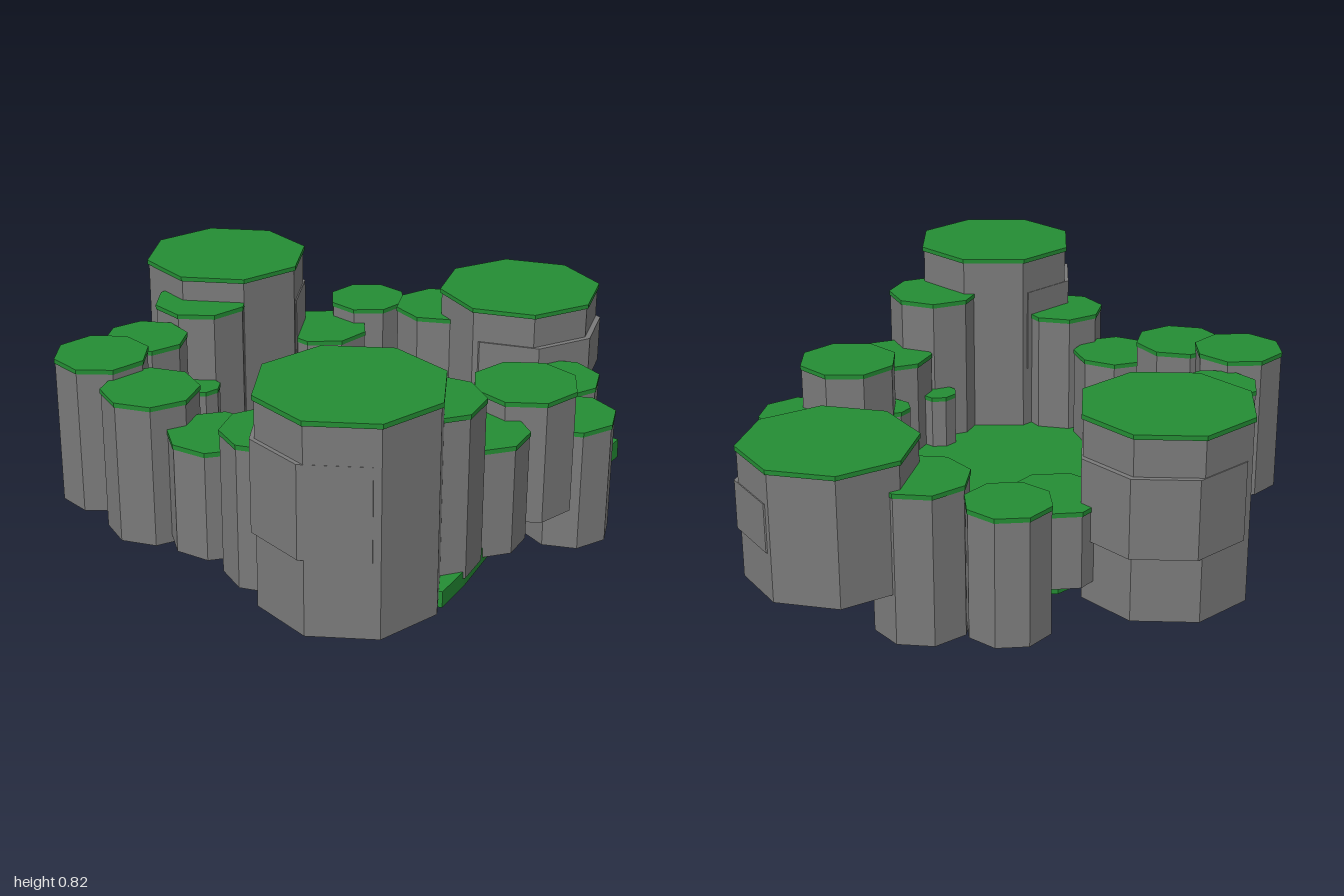
import * as THREE from 'three';

const rock = new THREE.MeshStandardMaterial({ color: 0x7a7a7a, flatShading: true });
const grass = new THREE.MeshStandardMaterial({ color: 0x248d34, flatShading: true });

// Octagonal prism from y0 to y1
function prism(name, x, z, r, y0, y1, turn, material) {
  const mesh = new THREE.Mesh(new THREE.CylinderGeometry(r, r, y1 - y0, 8), material);
  mesh.name = name;
  mesh.position.set(x, (y0 + y1) / 2, z);
  mesh.rotation.y = THREE.MathUtils.degToRad(turn);
  return mesh;
}

// Rock column with a grass cap and a grass underside
function column(name, [x, z, r, y0, y1, turn]) {
  const g = new THREE.Group();
  g.name = name;
  g.add(prism('rockShaft', x, z, r * 0.98, y0, y1 - 0.015, turn, [rock, grass, grass]));
  g.add(prism('grassCap', x, z, r, y1 - 0.015, y1, turn, grass));
  return g;
}

// x, z, radius, bottom, top, turn in degrees
const towers = [
  [-0.72, 0.55, 0.283, 0.16, 0.82, 8],
  [0.72, 0.25, 0.281, 0.165, 0.6, 41],
  [0.16, -0.61, 0.28, 0.095, 0.705, 6],
];
// x, z, radius, bottom, top, turn of the shifted block that shows at one corner of each tower
const blocks = [
  [-0.737, 0.536, 0.27, 0.4, 0.69, 8],
  [0.717, 0.275, 0.27, 0.32, 0.48, 41],
  [0.185, -0.612, 0.268, 0.31, 0.57, 6],
];
const columns = [
  // back edge
  [-0.615, -0.49, 0.152, 0.13, 0.62, 11],
  [-0.355, -0.535, 0.137, 0.13, 0.58, 4],
  [-0.07, -0.535, 0.16, 0.115, 0.62, 10],
  [0.37, -0.345, 0.158, 0.17, 0.425, 15],
  // left edge
  [0.585, -0.305, 0.138, 0.05, 0.477, 14],
  [0.62, -0.015, 0.158, 0, 0.505, 2],
  // right edge
  [-0.67, -0.24, 0.154, 0.115, 0.585, 41],
  [-0.665, 0.01, 0.15, 0.14, 0.5, 27],
  [-0.72, 0.265, 0.15, 0.14, 0.605, 41],
  // front edge
  [-0.425, 0.625, 0.163, 0.16, 0.69, 32],
  [-0.2, 0.665, 0.146, 0.15, 0.51, 30],
  [0.06, 0.66, 0.17, 0.165, 0.573, 9],
  [0.235, 0.73, 0.15, 0.01, 0.42, 0],
  [0.46, 0.545, 0.155, 0.01, 0.42, 0],
];
const innerColumns = [
  [-0.275, 0.515, 0.065, 0.14, 0.37, 12],
  [-0.03, 0.55, 0.07, 0.14, 0.39, 20],
  [0.215, 0.55, 0.09, 0.14, 0.35, 5],
  [0.43, 0.38, 0.1, 0.07, 0.31, 18],
  [0.4, -0.18, 0.095, 0.14, 0.3, 25],
  [-0.22, -0.42, 0.065, 0.14, 0.385, 8],
  [-0.48, -0.39, 0.075, 0.14, 0.43, 10],
];

export function createModel() {
  const model = new THREE.Group();
  model.name = 'rockArena';

  // Flat grass floor, reaching out under the front columns
  const outline = [[-0.6, 0.79], [-0.46, 0.775], [0.1, 0.67], [0.38, 0.58], [0.6, 0.3], [0.6, -0.15],
    [0.45, -0.4], [0.1, -0.5], [-0.55, -0.46], [-0.7, -0.2], [-0.74, 0.3]];
  const shape = new THREE.Shape(outline.map(([x, z]) => new THREE.Vector2(x, -z)));
  const floorGeometry = new THREE.ExtrudeGeometry(shape, { depth: 0.053, bevelEnabled: false });
  floorGeometry.rotateX(-Math.PI / 2);
  const floor = new THREE.Mesh(floorGeometry, grass);
  floor.name = 'grassFloor';
  floor.position.y = 0.13;
  model.add(floor);

  // Columns
  towers.forEach((t) => model.add(column('tower', t)));
  blocks.forEach((b) => model.add(prism('towerBlock', ...b, rock)));
  columns.forEach((c) => model.add(column('edgeColumn', c)));
  innerColumns.forEach((c) => model.add(column('innerColumn', c)));

  // Small ledge at the front
  const ledge = new THREE.Mesh(new THREE.BoxGeometry(0.17, 0.066, 0.12), grass);
  ledge.name = 'frontLedge';
  ledge.position.set(0.465, 0.177, 0.69);
  ledge.rotation.z = 0.03;
  model.add(ledge);

  return model;
}
